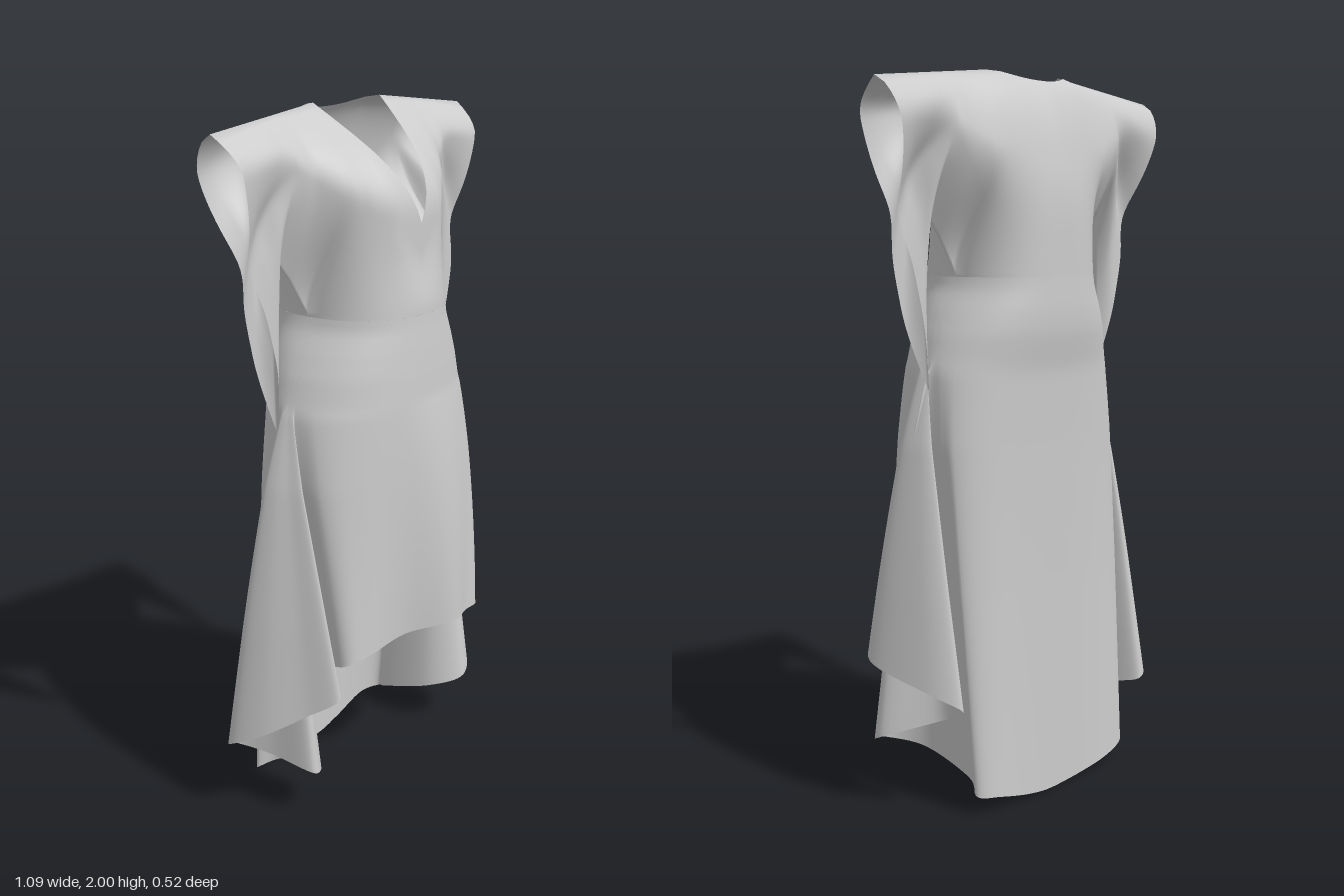
import * as THREE from 'three';
import { mergeVertices, mergeGeometries } from 'three/addons/utils/BufferGeometryUtils.js';

const { lerp, smoothstep, clamp } = THREE.MathUtils;
const WAIST = 1.45, MID = -0.08, NECK = 0.147;

// Linear lookup in rows of [key, value, ...], keys ascending
function table(rows, key, col = 1) {
  let i = 0;
  while (i < rows.length - 2 && key > rows[i + 1][0]) i++;
  const a = rows[i], b = rows[i + 1];
  return lerp(a[col], b[col], clamp((key - a[0]) / (b[0] - a[0]), 0, 1));
}

// Surface from a grid of points, columns by rows
function grid(cols, rows, pointAt, flip = false) {
  const pos = [], index = [];
  for (let i = 0; i <= cols; i++)
    for (let j = 0; j <= rows; j++) pos.push(...pointAt(i, j / rows));
  for (let i = 0; i < cols; i++)
    for (let j = 0; j < rows; j++) {
      const a = i * (rows + 1) + j, b = a + 1, c = a + rows + 1, d = c + 1;
      if (flip) index.push(a, c, b, b, c, d);
      else index.push(a, b, c, b, d, c);
    }
  const g = new THREE.BufferGeometry();
  g.setAttribute('position', new THREE.Float32BufferAttribute(pos, 3));
  g.setIndex(index);
  return g;
}

function smooth(geometry) {
  const g = mergeVertices(geometry, 1e-4);
  g.computeVertexNormals();
  return g;
}

// Plain outline of the body: height, half width, front z, back z, roundness
const HULL = [
  [0, 0.37, 0.27, -0.225, 1.15], [0.6, 0.37, 0.255, -0.225, 1.15], [1.0, 0.358, 0.225, -0.23, 1.15],
  [1.2, 0.335, 0.21, -0.235, 1.1], [1.3, 0.302, 0.203, -0.252, 1.05], [1.36, 0.272, 0.198, -0.255, 1],
  [1.42, 0.234, 0.192, -0.253, 0.9], [WAIST, 0.226, 0.19, -0.252, 0.87],
];
function hull(y, a) {
  const s = Math.sin(a), c = Math.cos(a), zc = -0.045;
  const depth = table(HULL, y, c > 0 ? 2 : 3) - zc;
  return [
    table(HULL, y) * Math.sign(s) * Math.abs(s) ** 0.85,
    zc + depth * Math.abs(c) ** table(HULL, y, 4),
  ];
}

// Hem path x, y, z: from front centre around the left side folds, back, right side folds
const HEM = [
  [0.04, 0.53, 0.26], [0.13, 0.53, 0.25], [0.22, 0.52, 0.225], [0.28, 0.5, 0.06], [0.37, 0.46, 0.11],
  [0.46, 0.41, 0.06], [0.42, 0.35, -0.12], [0.36, 0.3, -0.2], [0.35, 0.25, -0.1], [0.46, 0.2, 0.03],
  [0.37, 0.16, 0.1], [0.29, 0.13, 0.02], [0.28, 0.08, -0.14], [0.31, 0.05, -0.2], [0.25, 0.04, -0.23],
  [0.12, 0.01, -0.23], [0, 0, -0.225], [-0.2, 0.025, -0.23], [-0.315, 0.05, -0.2], [-0.27, 0.08, -0.14],
  [-0.27, 0.12, 0], [-0.36, 0.15, 0.06], [-0.39, 0.18, -0.08], [-0.43, 0.2, -0.18], [-0.48, 0.23, -0.15],
  [-0.46, 0.28, -0.05], [-0.4, 0.35, 0.06], [-0.35, 0.42, 0.15], [-0.3, 0.46, 0.03], [-0.32, 0.5, 0.14],
  [-0.25, 0.52, 0.18], [-0.1, 0.53, 0.195],
];
// Hem point number to angle around the body; the side folds gather at the side seams
const GATHER = [
  [0, 0], [1, 0.38], [2, 0.75], [3, 1.3], [4, 1.42], [8, 1.57], [11, 1.7], [12, 1.8], [13, 2], [14, 2.4], [15, 2.8],
  [16, Math.PI], [17, 3.78], [18, 4.28], [19, 4.48], [20, 4.58], [24, 4.71], [28, 4.86], [29, 5.08], [30, 5.43],
  [31, 5.95], [32, Math.PI * 2],
];

function skirtGeometry() {
  const hem = new THREE.CatmullRomCurve3(HEM.map(p => new THREE.Vector3(...p)), true, 'catmullrom', 0.5);
  const cols = 256;
  return smooth(grid(cols, 60, (i, t) => {
    const u = i / cols, end = hem.getPoint(u % 1);
    const y = lerp(WAIST, end.y, t);
    const [x, z] = hull(y, table(GATHER, u * HEM.length));
    // Folds open from just below the hips
    const f = clamp((1.22 - y) / (1.22 - end.y), 0, 1) ** 0.9;
    return [lerp(x, end.x, f), y, lerp(z, end.z, f)];
  }));
}

// Sleeve stations: top x, then the underarm seam point x, y
const SLEEVE = [
  [0, 0.2175, 0.226, WAIST], [0.2, 0.27, 0.295, 1.555], [0.4, 0.32, 0.357, 1.63],
  [0.6, 0.41, 0.357, 1.5], [0.8, 0.49, 0.352, 1.32], [1, 0.543, 0.345, 1.15],
];
// Fullness away from the shoulder line: x, front depth, back depth
const DEPTH = [
  [0, 0.245, 0.174], [0.1, 0.24, 0.155], [0.2, 0.18, 0.128], [0.28, 0.112, 0.097], [0.36, 0.085, 0.075], [0.54, 0.08, 0.07],
];
const TORSO = 12, ARM = 25, HALF = TORSO + ARM;
const shoulder = x => 1.997 - 0.045 * (x - NECK) / 0.395;

// Point on the front (side 1) or back (side -1) sheet; columns run from sleeve to sleeve
function bodicePoint(column, v, side) {
  const k = Math.abs(column), sign = Math.sign(column);
  const s = Math.max(0, (k - TORSO) / ARM);
  let topX, topY, botX, botY, botZ;
  if (k <= TORSO) {
    const a = k / TORSO * Math.PI / 2, n = Math.min(1, k / 8);
    topX = k <= 8 ? NECK * n : lerp(NECK, 0.2175, (k - 8) / 4);
    const neck = side > 0 ? lerp(1.69, 1.997, n) : lerp(1.974, 1.997, n * n);
    topY = n < 1 ? neck : shoulder(topX);
    [botX, botZ] = hull(WAIST, side > 0 ? a : Math.PI - a);
    botY = WAIST;
  } else {
    topX = table(SLEEVE, s);
    topY = shoulder(topX);
    botX = table(SLEEVE, s, 2);
    botY = table(SLEEVE, s, 3);
    botZ = lerp(-0.045, -0.06, s);
  }
  const x = lerp(topX, botX, v);
  const y = lerp(topY, botY, v);
  // Rounded fall from the shoulder, tighter over the sleeves
  const drop = Math.max(0, shoulder(Math.max(x, NECK)) - y);
  const arm = smoothstep(x, 0.1, 0.4);
  const reach = side > 0 ? lerp(0.28, 0.1, arm) : lerp(0.45, 0.12, arm);
  const power = side > 0 ? 0.95 : lerp(0.36, 0.6, arm);
  const round = Math.sin(Math.PI / 2 * Math.min(1, drop / reach)) ** power;
  // Sleeves pinch below the arm, then hang as a slim pocket
  const hang = smoothstep(s, 0.3, 0.8);
  const slim = 1 - hang * (0.5 * smoothstep(v, 0.12, 0.42) + 0.3 * Math.exp(-(((v - 0.43) / 0.1) ** 2)));
  const full = lerp(MID, -0.055, hang * smoothstep(v, 0.1, 0.5)) + side * table(DEPTH, x, side > 0 ? 1 : 2) * round * slim;
  const start = lerp(0.35, 0.72, hang);
  const q = clamp((v - start) / (1 - start), 0, 1);
  const z = lerp(full, botZ, lerp(smoothstep(q, 0, 1), q * q * (1.6 - 0.6 * q), Math.min(1, s * 5)));
  return [sign < 0 ? -x : x, y, z];
}

function bodiceGeometry() {
  const sheet = side => grid(HALF * 2, 40, (i, v) => bodicePoint(i - HALF, v, side), side < 0);
  return smooth(mergeGeometries([sheet(1), sheet(-1)]));
}

export function createModel() {
  const group = new THREE.Group();
  group.name = 'dress';
  const cloth = new THREE.MeshStandardMaterial({ color: 0xcccccc, side: THREE.DoubleSide });
  const add = (name, geometry) => {
    const mesh = new THREE.Mesh(geometry, cloth);
    mesh.name = name;
    group.add(mesh);
  };
  add('bodiceWithSleeves', bodiceGeometry());
  add('drapedSkirt', skirtGeometry());
  return group;
}
